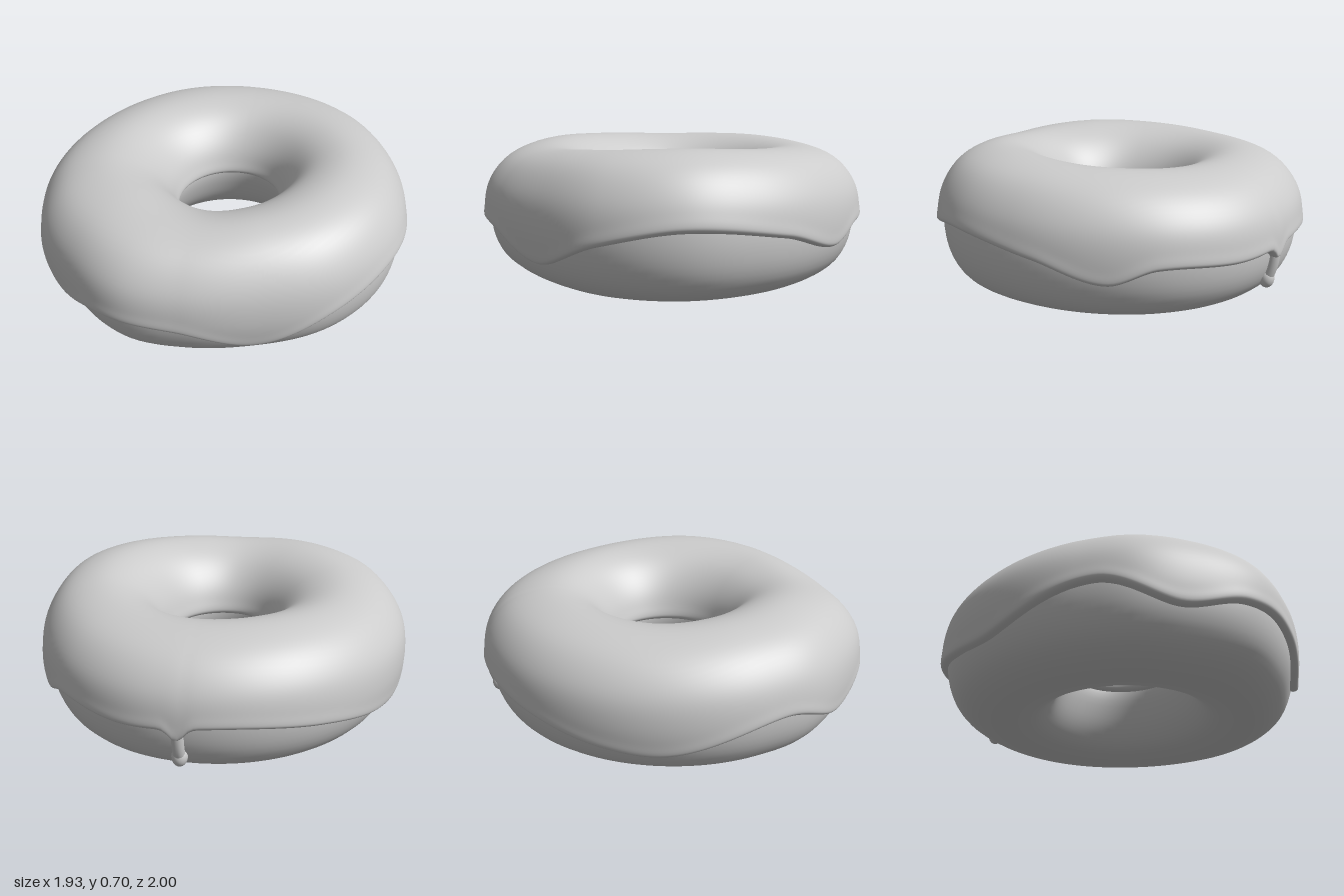
import * as THREE from 'three';

const TAU = Math.PI * 2;
const smooth = (x, a, b) => THREE.MathUtils.smoothstep(x, a, b);

// Smooth cyclic interpolation through [degrees, value] knots
function cyclic(knots) {
  const n = knots.length;
  const knot = (i) => {
    const turn = Math.floor(i / n);
    const [d, v] = knots[i - turn * n];
    return [d + turn * 360, v];
  };
  return (angle) => {
    const d = THREE.MathUtils.euclideanModulo((angle * 360) / TAU, 360);
    let i = n - 1;
    while (i > 0 && knots[i][0] > d) i--;
    const [p0, p1, p2, p3] = [i - 1, i, i + 1, i + 2].map(knot);
    const h = p2[0] - p1[0], t = (d - p1[0]) / h;
    const m1 = ((p2[1] - p0[1]) / (p2[0] - p0[0])) * h;
    const m2 = ((p3[1] - p1[1]) / (p3[0] - p1[0])) * h;
    const t2 = t * t, t3 = t2 * t;
    return (2 * t3 - 3 * t2 + 1) * p1[1] + (t3 - 2 * t2 + t) * m1
      + (3 * t2 - 2 * t3) * p2[1] + (t3 - t2) * m2;
  };
}

// Uneven outline, crest height and outer icing edge around the ring (0 = +x, 90 = front)
const outerRadius = cyclic([[0, 0.967], [25, 0.948], [50, 0.915], [72, 0.945], [91, 0.999], [112, 0.992],
  [129, 0.998], [144, 0.982], [180, 0.967], [225, 0.98], [251, 0.99], [270, 0.998], [290, 0.985], [314, 0.957], [337, 0.952]]);
const crestHeight = cyclic([[0, 0.708], [45, 0.685], [75, 0.665], [112, 0.685], [145, 0.675], [180, 0.66],
  [225, 0.67], [270, 0.665], [315, 0.685]]);
const outerEdge = cyclic([[0, 0.368], [25, 0.295], [49.5, 0.16], [74, 0.262], [97, 0.275], [116.5, 0.203],
  [139, 0.305], [172, 0.175], [190, 0.19], [215, 0.265], [240, 0.31], [270, 0.285], [295, 0.295], [309, 0.225], [330, 0.315]]);
const INNER_EDGE = 0.33;
const holeRadius = (a) => 0.28 - 0.02 * Math.sin(a) - 0.01 * Math.cos(2 * a);

// Dough cross-section (radius, height): up the outside, over the top, down the hole
const section = new THREE.CatmullRomCurve3([
  [0.66, 0], [0.76, 0.02], [0.855, 0.082], [0.91, 0.18], [0.93, 0.33], [0.902, 0.47], [0.8, 0.59], [0.62, 0.64],
  [0.45, 0.59], [0.335, 0.47], [0.295, 0.33], [0.325, 0.2], [0.38, 0.1], [0.45, 0.035], [0.56, 0.003],
].map(([r, y]) => new THREE.Vector3(r, y, 0)), true, 'centripetal');
section.arcLengthDivisions = 400;
const LENGTH = section.getLength();

// Point on the ring at angle a and section position u, lifted off the dough
function ringPoint(a, u, lift = 0) {
  const p = section.getPointAt(u), t = section.getTangentAt(u);
  let r = p.x + t.y * lift;
  let y = p.y - t.x * lift;
  r += (outerRadius(a) - 0.965) * smooth(r, 0.5, 0.95)
    + (holeRadius(a) - 0.267) * (1 - smooth(r, 0.25, 0.65));
  y += (crestHeight(a) - 0.675) * smooth(y, 0.3, 0.66);
  return new THREE.Vector3(r * Math.cos(a), Math.max(y, 0), r * Math.sin(a));
}

// Section position where the wall between lo and hi reaches a height
function findHeight(height, lo, hi) {
  const rising = section.getPointAt(hi).y > section.getPointAt(lo).y;
  for (let i = 0; i < 14; i++) {
    const mid = (lo + hi) / 2;
    if (section.getPointAt(mid).y < height === rising) lo = mid;
    else hi = mid;
  }
  return (lo + hi) / 2;
}

// Ring surface from a loop of cross-sections
function sweep(around, across, closed, pointAt) {
  const pos = [], index = [], cols = closed ? across : across + 1;
  for (let i = 0; i < around; i++) {
    const row = pointAt((i / around) * TAU);
    for (let j = 0; j < cols; j++) pos.push(...row(j / across));
  }
  for (let i = 0; i < around; i++) {
    for (let j = 0; j < across; j++) {
      const k = (j + 1) % cols, next = ((i + 1) % around) * cols;
      const a = i * cols + j, b = i * cols + k, c = next + j, d = next + k;
      index.push(a, b, c, b, d, c);
    }
  }
  const g = new THREE.BufferGeometry();
  g.setAttribute('position', new THREE.Float32BufferAttribute(pos, 3));
  g.setIndex(index);
  g.computeVertexNormals();
  return g;
}

export function createModel() {
  const group = new THREE.Group();
  const material = new THREE.MeshStandardMaterial({ color: 0xcccccc, side: THREE.DoubleSide });
  const add = (name, geometry) => {
    const mesh = new THREE.Mesh(geometry, material);
    mesh.name = name;
    group.add(mesh);
    return mesh;
  };

  // Dough ring with a rounded, slightly flattened base
  add('dough', sweep(128, 60, true, (a) => (v) => ringPoint(a, v)));

  // Icing shell with a wavy, rounded lip that sags where the drip starts
  const dripAngle = (255 / 360) * TAU;
  const edgeHeight = (a) => outerEdge(a) - 0.06 * Math.exp(-(((a - dripAngle) / 0.045) ** 2));
  const innerEnd = findHeight(INNER_EDGE, 0.5, 0.85);
  add('icing', sweep(256, 60, false, (a) => {
    const start = findHeight(edgeHeight(a), 0.02, 0.4);
    return (v) => {
      // Crowd the columns toward both edges
      const w = v - (0.85 * Math.sin(TAU * v)) / TAU;
      const dist = Math.min(w, 1 - w) * (innerEnd - start) * LENGTH;
      const round = Math.sqrt(1 - (1 - Math.min(dist / 0.025, 1)) ** 2);
      const bead = 0.004 * Math.exp(-(((dist - 0.03) / 0.03) ** 2));
      return ringPoint(a, start + (innerEnd - start) * w, (0.035 + bead) * round - 0.003);
    };
  }));

  // Single drip running down the back, ending in a drop
  const path = [];
  for (let i = 0; i <= 6; i++) {
    const u = findHeight(THREE.MathUtils.lerp(0.28, 0.14, i / 6), 0.02, 0.4);
    path.push(ringPoint(dripAngle, u, 0.006));
  }
  add('dripStem', new THREE.TubeGeometry(new THREE.CatmullRomCurve3(path), 20, 0.029, 16));
  const drop = add('dripDrop', new THREE.SphereGeometry(0.038, 24, 16));
  drop.position.copy(path[6]);
  drop.scale.set(1, 1.3, 1);

  return group;
}
